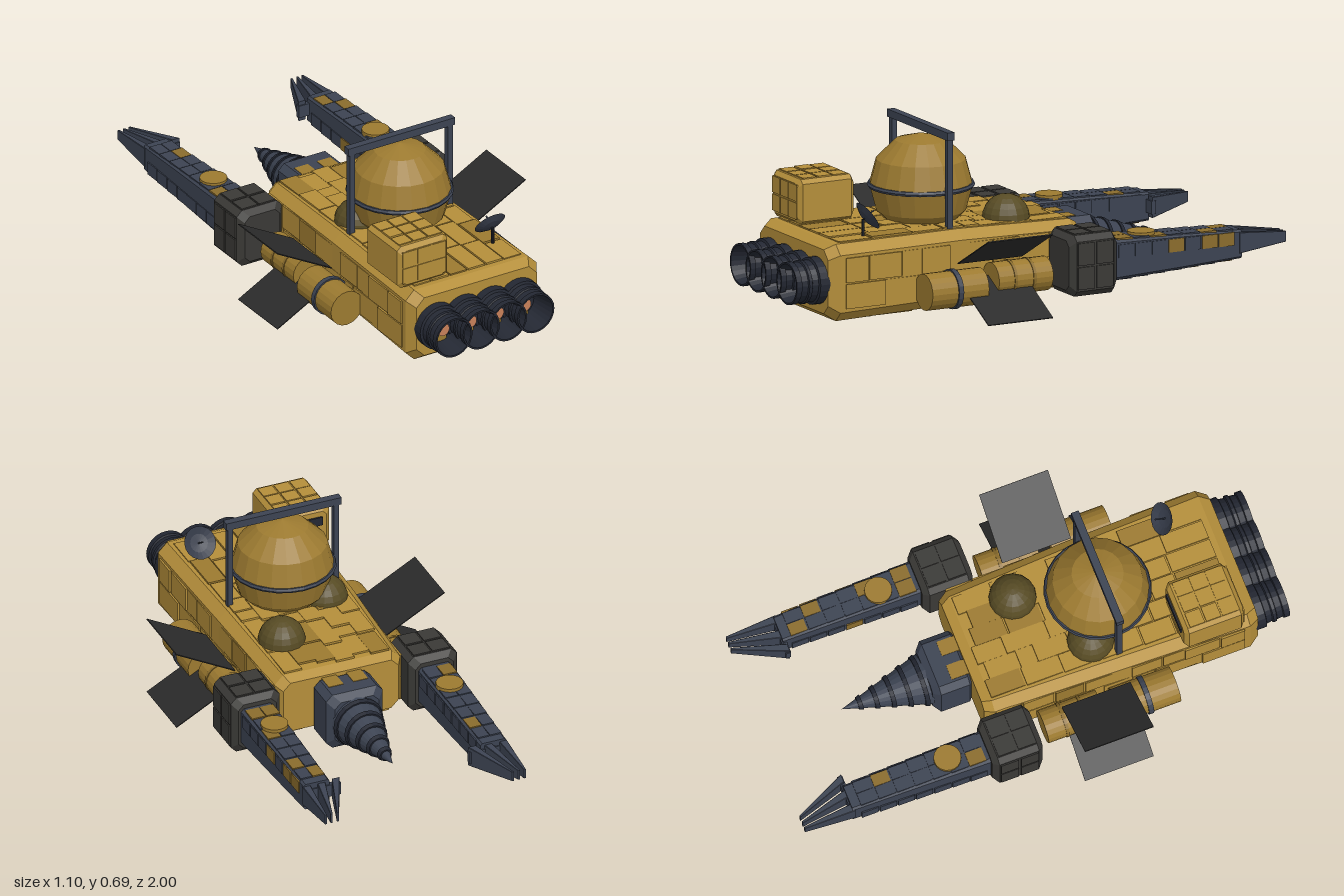
import * as THREE from 'three';

const mat = (color, extra = {}) => new THREE.MeshStandardMaterial({ color, flatShading: true, ...extra });
const M = {
  yellow: mat(0xb48e3a), amber: mat(0x9c7a30), ochre: mat(0x8a6c2c), navy: mat(0x3c4352), black: mat(0x232732),
  iron: mat(0x3a3936), olive: mat(0x574b24), copper: mat(0xc8805a),
  bell: mat(0x232732, { side: THREE.DoubleSide }), fin: mat(0x2b2b2b, { side: THREE.DoubleSide }),
};

let seed = 7;
const rand = () => (seed = (seed * 16807) % 2147483647) / 2147483647;
const lerp = THREE.MathUtils.lerp;

export function createModel() {
  const root = new THREE.Group();
  const add = (name, geo, material, x = 0, y = 0, z = 0, parent = root) => {
    const m = new THREE.Mesh(geo, material);
    m.name = name;
    m.position.set(x, y, z);
    parent.add(m);
    return m;
  };
  const box = (name, material, w, h, d, x, y, z) => add(name, new THREE.BoxGeometry(w, h, d), material, x, y, z);
  const cylZ = (r0, r1, len, n = 20) => new THREE.CylinderGeometry(r0, r1, len, n).rotateX(Math.PI / 2);

  // Solid through octagonal sections [z, centreX, halfWidth, bottom, top, chamfer], ordered from +z to -z
  const loft = sections => {
    const rings = sections.map(([z, x, w, b, t, c]) => [
      [w, b + c], [w, t - c], [w - c, t], [c - w, t], [-w, t - c], [-w, b + c], [c - w, b], [w - c, b],
    ].map(([px, py]) => [x + px, py, z]));
    const mid = ([z, x, , b, t]) => [x, (b + t) / 2, z];
    const p = [];
    const last = rings.length - 1;
    for (let i = 0; i < 8; i++) {
      const j = (i + 1) % 8;
      for (let k = 0; k < last; k++) {
        const [a, b, c, d] = [rings[k][i], rings[k][j], rings[k + 1][j], rings[k + 1][i]];
        p.push(...a, ...d, ...c, ...a, ...c, ...b);
      }
      p.push(...mid(sections[0]), ...rings[0][i], ...rings[0][j]);
      p.push(...mid(sections[last]), ...rings[last][j], ...rings[last][i]);
    }
    const g = new THREE.BufferGeometry();
    g.setAttribute('position', new THREE.Float32BufferAttribute(p, 3));
    g.computeVertexNormals();
    return g;
  };
  // Chamfered block between two corners
  const block = (x0, x1, y0, y1, z0, z1, c) => {
    const x = (x0 + x1) / 2, w = (x1 - x0) / 2;
    const cap = z => [z, x, w - c, y0 + c, y1 - c, c];
    const full = z => [z, x, w, y0, y1, c];
    return loft([cap(z1), full(z1 - c), full(z0 + c), cap(z0)]);
  };

  // Hull
  add('hull', loft([
    [0.87, 0, 0.265, 0.06, 0.305, 0.035], [0.83, 0, 0.288, 0.032, 0.326, 0.037],
    [0.3, 0, 0.275, 0.04, 0.326, 0.037], [-0.18, 0, 0.256, 0.058, 0.309, 0.035], [-0.215, 0, 0.235, 0.08, 0.29, 0.03],
  ]), M.yellow);

  // Raised hull plating, in rows of uneven lengths
  const at = (z, front, back) => lerp(back, front, (z + 0.18) / 1.01);
  for (const [cols, width] of [[6, 0.078], [2, 0.1]]) {
    for (let c = 0; c < cols; c++) {
      for (let z = 0.81; z > -0.14;) {
        const len = Math.min(0.06 + rand() * 0.13, z + 0.18);
        const zc = z - len / 2, m = rand() < 0.2 ? M.amber : M.yellow;
        const lift = rand() * 0.004;
        if (cols === 6) {
          const x = (c - 2.5) * (width + 0.002) * at(zc, 1, 0.87);
          box('deckPlate', m, width * 0.93, 0.008, len - 0.006, x, (zc > 0.3 ? 0.326 : lerp(0.309, 0.326, (zc + 0.18) / 0.48)) + lift, zc);
          box('bellyPlate', M.yellow, width * 0.93, 0.008, len - 0.006, x, at(zc, 0.032, 0.056) - lift, zc);
        } else {
          for (const s of [-1, 1]) box('sidePlate', m, 0.008, width * 0.94, len - 0.006, s * (at(zc, 0.288, 0.256) + lift), 0.13 + c * width, zc);
        }
        z -= len;
      }
    }
  }

  // Belly hatches and fittings
  for (const [x, z, r] of [[0.02, 0.56, 0.05], [-0.1, 0.3, 0.04], [0.08, 0.05, 0.05]])
    add('bellyHatch', new THREE.CylinderGeometry(r, r, 0.02, 16), M.ochre, x, 0.032, z);
  for (let i = 0; i < 14; i++)
    box('bellyFitting', M.ochre, 0.02 + rand() * 0.05, 0.02, 0.02 + rand() * 0.04, (rand() - 0.5) * 0.4, 0.03, rand() * 0.8 - 0.05);
  for (const x of [0.07, 0.09, 0.115])
    add('bellyNozzle', new THREE.SphereGeometry(0.016, 10, 6), M.ochre, x, 0.018, 0.6);

  // Engine row: collar, ribbed bell, glowing core
  const bellProfile = [
    [0.0, 0.03], [0.055, 0.035], [0.074, 0.138], [0.081, 0.138], [0.081, 0.115], [0.074, 0.112], [0.077, 0.088],
    [0.083, 0.085], [0.083, 0.072], [0.076, 0.068], [0.08, 0.045], [0.09, 0.042], [0.09, 0.0],
  ].map(([r, y]) => new THREE.Vector2(r, y));
  const bell = new THREE.LatheGeometry(bellProfile, 24).rotateX(Math.PI / 2);
  for (let i = 0; i < 4; i++) {
    const x = -0.18 + i * 0.12;
    add('engineBell', bell, M.bell, x, 0.18, 0.862);
    add('engineCore', cylZ(0.026, 0.026, 0.03, 16), M.copper, x, 0.18, 0.91);
    box('engineBracket', M.amber, 0.05, 0.15, 0.04, x, 0.18, 0.885);
  }

  // Spherical tank with belt, under a gantry
  add('sphereTank', new THREE.SphereGeometry(0.195, 20, 6), M.amber, 0, 0.455, 0.33);
  add('tankBelt', new THREE.TorusGeometry(0.193, 0.01, 6, 24).rotateX(Math.PI / 2), M.navy, 0, 0.455, 0.33);
  box('gantryBeam', M.navy, 0.47, 0.03, 0.03, 0, 0.68, 0.33);
  for (const s of [-1, 1]) box('gantryPost', M.navy, 0.022, 0.36, 0.022, s * 0.216, 0.495, 0.33);

  // Deck domes
  for (const [x, z] of [[0.13, 0.04], [-0.135, 0.25]])
    add('deckDome', new THREE.SphereGeometry(0.09, 16, 6, 0, Math.PI * 2, 0, Math.PI / 2), M.olive, x, 0.32, z);

  // Cabin with window slot and panels
  add('cabin', block(-0.3, -0.08, 0.325, 0.5, 0.565, 0.805, 0.016), M.yellow);
  box('cabinWindow', M.black, 0.15, 0.035, 0.012, -0.19, 0.445, 0.564);
  for (let i = 0; i < 3; i++) {
    for (let j = 0; j < 3; j++) {
      const a = -0.255 + i * 0.065, z = 0.62 + j * 0.065;
      box('cabinRoofPanel', M.yellow, 0.059, 0.008, 0.059, a, 0.5 + rand() * 0.003, z);
      if (j < 2) box('cabinFrontPanel', M.yellow, 0.059, 0.063, 0.008, a, 0.38 + j * 0.069, 0.804);
    }
  }

  // Dish antenna on a mast, tilted up and backward
  const dish = new THREE.Group();
  dish.name = 'dishAntenna';
  dish.position.set(0.19, 0.395, 0.675);
  root.add(dish);
  const dishGeo = new THREE.LatheGeometry([[0, 0], [0.035, 0.005], [0.063, 0.018]].map(q => new THREE.Vector2(...q)), 18);
  add('dishBowl', dishGeo, mat(0x353b49, { side: THREE.DoubleSide }), 0, 0, 0, dish);
  add('dishFeed', new THREE.CylinderGeometry(0.003, 0.003, 0.05, 6), M.navy, 0, 0.025, 0, dish);
  dish.rotation.x = -0.97;
  add('dishMast', new THREE.CylinderGeometry(0.006, 0.006, 0.07, 8), M.black, 0.19, 0.358, 0.68);

  // Drill: housing, cone and ridges
  add('drillHousing', block(-0.115, 0.115, 0.05, 0.28, -0.365, -0.2, 0.025), M.navy);
  for (const s of [-1, 1]) box('drillHousingPlate', M.amber, 0.06, 0.01, 0.07, s * 0.05, 0.277, -0.25);
  add('drillCone', new THREE.ConeGeometry(0.1, 0.335, 20).rotateX(-Math.PI / 2), M.navy, 0, 0.16, -0.528);
  for (let i = 0; i < 5; i++) {
    const z = -0.385 - i * 0.06, r = 0.1 * (z + 0.695) / 0.335;
    add('drillRidge', cylZ(r + 0.009, r + 0.003, 0.016), M.black, 0, 0.16, z);
  }

  for (const s of [-1, 1]) {
    // Side tanks
    add('rearTank', cylZ(0.07, 0.07, 0.24), M.amber, s * 0.343, 0.125, 0.385);
    add('rearTankBand', cylZ(0.076, 0.076, 0.02), M.navy, s * 0.343, 0.125, 0.385);
    add('frontTank', cylZ(0.065, 0.065, 0.23), M.amber, s * 0.33, 0.14, 0.097);
    for (const z of [0.06, 0.14]) add('frontTankBand', cylZ(0.068, 0.068, 0.012), M.ochre, s * 0.33, 0.14, z);

    // Thin radiator fins, angled up and down
    for (const [y0, y1] of [[0.21, 0.34], [0.15, 0.02]]) {
      const fin = box('radiatorFin', M.fin, Math.hypot(0.24, y1 - y0), 0.004, 0.275, s * 0.427, (y0 + y1) / 2, 0.205);
      fin.rotation.z = s * Math.atan2(y1 - y0, 0.24);
    }

    // Shoulder block with facing plates
    const sx0 = s > 0 ? 0.262 : -0.46;
    add('armShoulder', block(sx0, sx0 + 0.198, 0.063, 0.297, -0.262, -0.06, 0.022), M.iron);
    for (let i = 0; i < 2; i++) {
      for (let j = 0; j < 2; j++) {
        const z = -0.2 + j * 0.08;
        box('shoulderTopPlate', M.iron, 0.07, 0.008, 0.07, s * (0.323 + i * 0.077), 0.298, z);
        box('shoulderSidePlate', M.iron, 0.008, 0.085, 0.07, s * 0.461, 0.135 + i * 0.092, z);
      }
    }

    // Arm with plating, joint cap and three claw prongs
    add('arm', loft([
      [-0.25, s * 0.362, 0.066, 0.1, 0.258, 0.012], [-0.55, s * 0.361, 0.059, 0.112, 0.247, 0.01],
      [-0.81, s * 0.36, 0.053, 0.125, 0.234, 0.008],
    ]), M.navy);
    for (let i = 0; i < 7; i++) {
      const z = -0.31 - i * 0.072, t = (z + 0.25) / -0.56;
      const w = lerp(0.066, 0.053, t), top = lerp(0.258, 0.234, t), low = lerp(0.1, 0.125, t);
      const pick = () => (rand() < 0.28 ? M.ochre : M.navy);
      for (const k of [-1, 1]) {
        box('armTopPlate', pick(), w * 0.85, 0.008, 0.066, s * 0.361 + k * w * 0.45, top, z);
        box('armSidePlate', pick(), 0.008, 0.05, 0.066, s * 0.361 + k * w, lerp(low, top, 0.5 + k * 0.22), z);
      }
      box('armUnderPlate', pick(), w * 1.4, 0.008, 0.066, s * 0.361, low, z);
    }
    add('armJointCap', new THREE.CylinderGeometry(0.052, 0.052, 0.024, 18), M.amber, s * 0.357, 0.254, -0.41);
    for (const [base, tip] of [[0.278, 0.357], [0.338, 0.382], [0.4, 0.405]]) {
      add('clawProng', loft([
        [-0.8, s * base, 0.016, 0.145, 0.226, 0.002], [-1, s * tip, 0.004, 0.168, 0.208, 0.001],
      ]), M.navy);
    }
    box('clawMount', M.navy, 0.15, 0.05, 0.02, s * 0.337, 0.185, -0.805);
  }
  return root;
}
